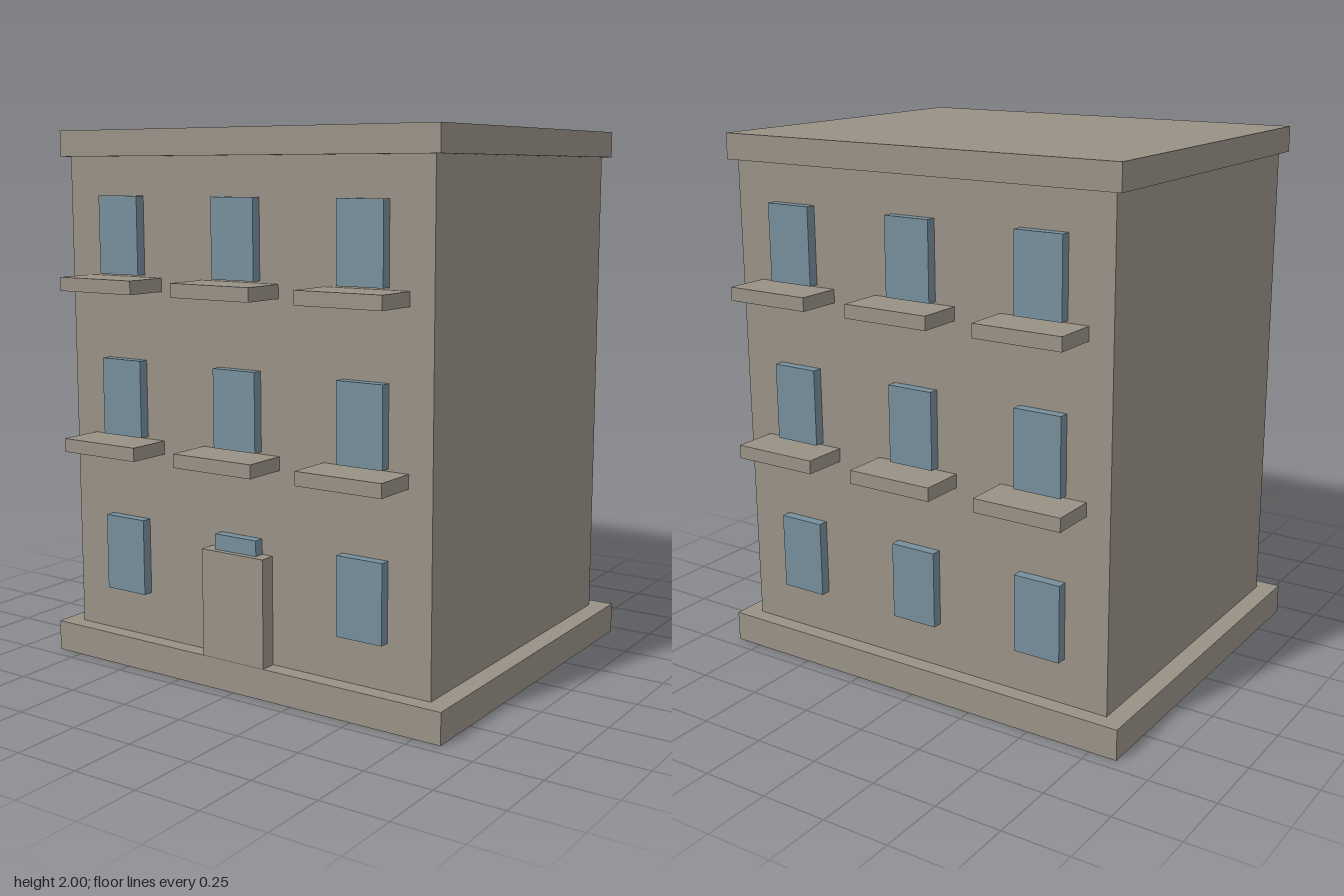
import * as THREE from 'three';

export function createModel() {
  const building = new THREE.Group();
  building.name = 'apartmentBuilding';

  const stone = new THREE.MeshStandardMaterial({ color: 0x989185 });
  stone.name = 'stone';
  const glass = new THREE.MeshStandardMaterial({ color: 0x768e9b });
  glass.name = 'glass';

  // Box given by its x centre and its y and z ranges
  function addBox(parent, name, material, x, width, y0, y1, z0, z1) {
    const mesh = new THREE.Mesh(new THREE.BoxGeometry(width, y1 - y0, z1 - z0), material);
    mesh.position.set(x, (y0 + y1) / 2, (z0 + z1) / 2);
    mesh.name = name;
    parent.add(mesh);
  }

  // Main masses
  addBox(building, 'plinth', stone, 0, 1.71, 0, 0.115, -0.7, 0.7);
  addBox(building, 'walls', stone, 0, 1.565, 0.115, 1.905, -0.64, 0.64);
  addBox(building, 'roofSlab', stone, 0, 1.624, 1.905, 2, -0.665, 0.665);

  // Windows and balconies, the same on the front and back facades
  for (const side of ['front', 'back']) {
    const facade = new THREE.Group();
    facade.name = side + 'Facade';
    if (side === 'back') facade.rotation.y = Math.PI;
    for (let floor = 0; floor < 3; floor++) {
      const sill = 0.285 + floor * 0.597;
      for (const x of [-0.522, 0, 0.522]) {
        addBox(facade, 'window', glass, x, 0.182, sill, sill + 0.285, 0.64, 0.678);
        if (floor > 0) {
          addBox(facade, 'balcony', stone, x, 0.338, sill - 0.058, sill - 0.008, 0.64, 0.808);
        }
      }
    }
    building.add(facade);
  }

  // Entrance, standing on the plinth
  addBox(building, 'door', stone, 0, 0.27, 0.115, 0.513, 0.64, 0.699);

  return building;
}
